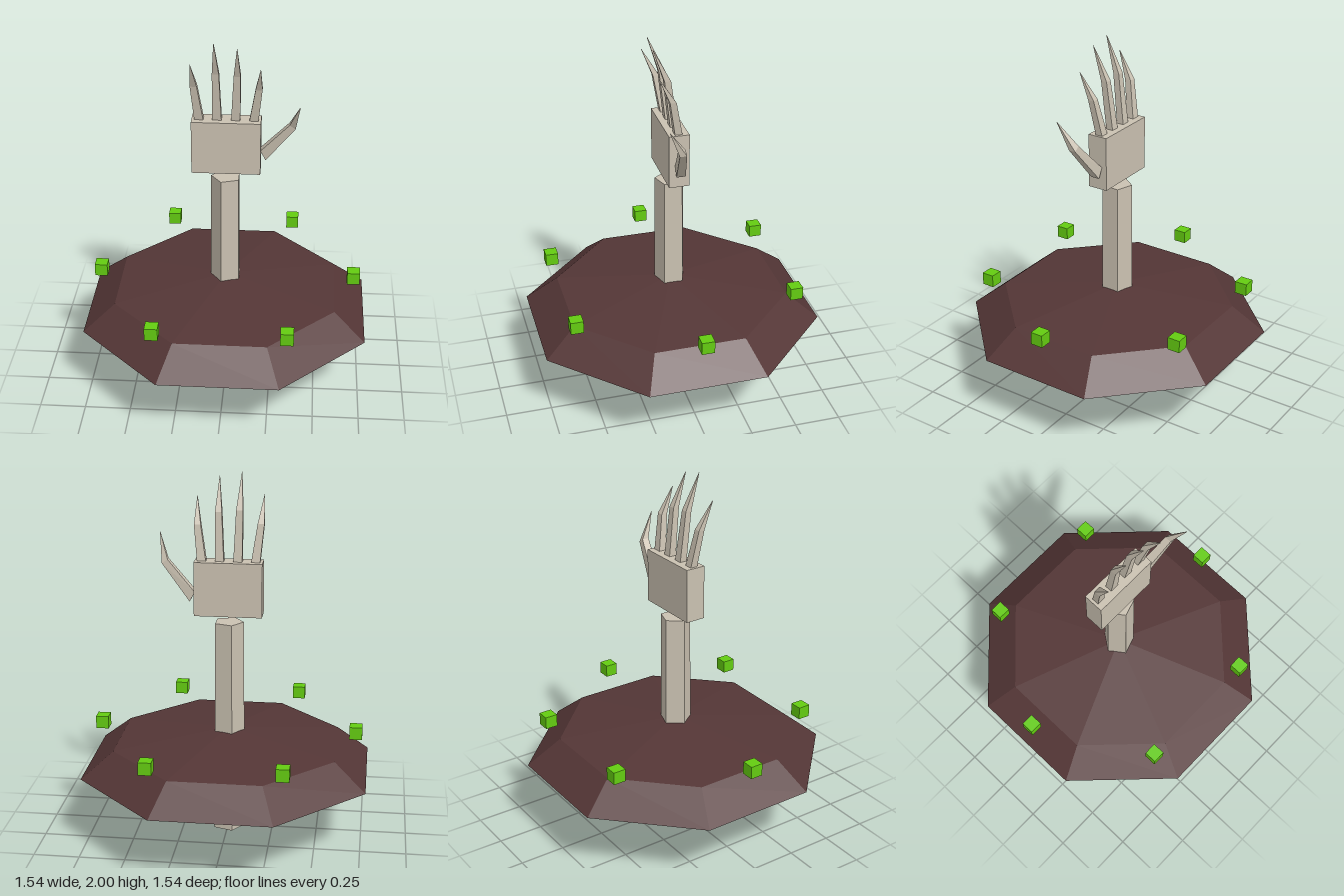
import * as THREE from 'three';

const bone = new THREE.MeshStandardMaterial({ color: 0xcac1b1 });
bone.name = 'bone';
const earth = new THREE.MeshStandardMaterial({ color: 0x543636 });
earth.name = 'dark earth';
const green = new THREE.MeshStandardMaterial({ color: 0x64cc11 });
green.name = 'bright green';

// Faceted mesh: unshared corners give flat normals
function part(name, geometry, material, x = 0, y = 0, z = 0) {
  const flat = geometry.index ? geometry.toNonIndexed() : geometry;
  flat.computeVertexNormals();
  const mesh = new THREE.Mesh(flat, material);
  mesh.name = name;
  mesh.position.set(x, y, z);
  return mesh;
}

// Square-section bone through base and joint, closing at a pointed tip.
// Each section: [x, y, z, half width, half depth, tilt about z]
function digit(sections) {
  const positions = [];
  const index = [];
  const corners = [[1, 1], [1, -1], [-1, -1], [-1, 1]];
  for (const [x, y, z, w, d, tilt] of sections) {
    for (const [u, v] of corners) {
      positions.push(x + u * w * Math.cos(tilt), y + u * w * Math.sin(tilt), z + v * d);
    }
  }
  for (let s = 0; s < sections.length - 1; s++) {
    for (let i = 0; i < 4; i++) {
      const a = s * 4 + i;
      const b = s * 4 + (i + 1) % 4;
      index.push(a, b, a + 4, b + 4, a + 4, b);
    }
  }
  index.push(2, 1, 0, 3, 2, 0); // base cap
  const geometry = new THREE.BufferGeometry();
  geometry.setAttribute('position', new THREE.Float32BufferAttribute(positions, 3));
  geometry.setIndex(index);
  return geometry;
}

export function createModel() {
  const model = new THREE.Group();
  model.name = 'boneHandOnMound';

  // Eight-sided mound with a steep rim and shallow top
  const profile = [[0, 0.375], [0.834, 0.375], [0.65, 0.52], [0, 0.595]]
    .map(([r, y]) => new THREE.Vector2(r, y));
  model.add(part('mound', new THREE.LatheGeometry(profile, 8, Math.PI / 8), earth));

  // Five-sided forearm passing through the mound
  const arm = new THREE.CylinderGeometry(0.083, 0.091, 1.205, 5, 1, false, -Math.PI / 10);
  model.add(part('forearm', arm, bone, -0.002, 0.6025, 0));

  // Hand
  const hand = new THREE.Group();
  hand.name = 'hand';
  hand.add(part('palm', new THREE.BoxGeometry(0.366, 0.295, 0.11), bone, -0.003, 1.3925, 0));

  // Fingers: [base x, joint x, joint y, joint z, tip x, tip y]
  const fingers = [
    [-0.146, -0.171, 1.74, 0.034, -0.182, 1.885],
    [-0.052, -0.057, 1.81, 0.032, -0.061, 2.0],
    [0.046, 0.055, 1.8, 0.032, 0.058, 1.975],
    [0.141, 0.168, 1.73, 0.034, 0.178, 1.865],
  ];
  fingers.forEach(([bx, jx, jy, jz, tx, ty], i) => {
    hand.add(part(`finger${i + 1}`, digit([
      [bx, 1.53, -0.002, 0.024, 0.02, 0],
      [jx, jy, jz, 0.018, 0.017, 0],
      [tx, ty, 0.106, 0.001, 0.001, 0],
    ]), bone));
  });

  // Thumb
  hand.add(part('thumb', digit([
    [0.192, 1.343, -0.002, 0.03, 0.025, -1.1],
    [0.345, 1.525, 0.03, 0.019, 0.019, -0.6],
    [0.383, 1.664, 0.106, 0.001, 0.001, 0],
  ]), bone));
  model.add(hand);

  // Ring of six floating cubes
  for (let i = 0; i < 6; i++) {
    const a = i * Math.PI / 3;
    model.add(part(`floatingCube${i + 1}`, new THREE.BoxGeometry(0.07, 0.07, 0.07), green,
      0.705 * Math.cos(a), 0.6, 0.705 * Math.sin(a)));
  }
  return model;
}
